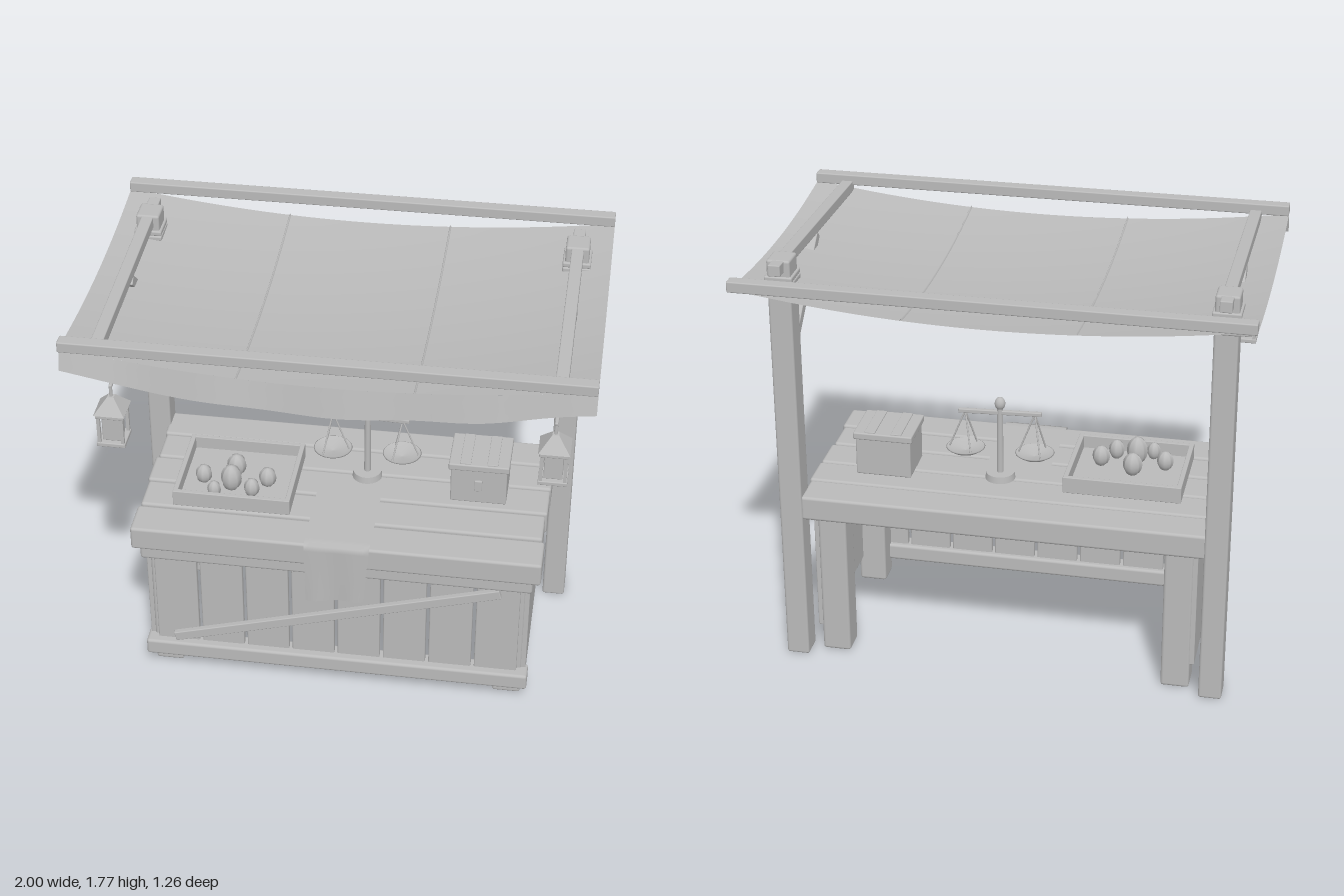
import * as THREE from 'three';
import { RoundedBoxGeometry } from 'three/addons/geometries/RoundedBoxGeometry.js';

const grey = new THREE.MeshStandardMaterial({ color: 0xbababa, side: THREE.DoubleSide });
grey.name = 'plain grey';

function add(parent, name, geometry, x = 0, y = 0, z = 0) {
  const mesh = new THREE.Mesh(geometry, grey);
  mesh.name = name;
  mesh.position.set(x, y, z);
  parent.add(mesh);
  return mesh;
}

// Softly bevelled box given by its extents on each axis
function box(parent, name, [x0, x1], [y0, y1], [z0, z1], bevel = 0.008) {
  const w = x1 - x0, h = y1 - y0, d = z1 - z0;
  const r = Math.min(bevel, w * 0.3, h * 0.3, d * 0.3);
  return add(parent, name, new RoundedBoxGeometry(w, h, d, 2, r), (x0 + x1) / 2, (y0 + y1) / 2, (z0 + z1) / 2);
}

// Bar running between two points in a plane of constant x
function bar(parent, name, x, [y0, z0], [y1, z1], w, h) {
  const len = Math.hypot(y1 - y0, z1 - z0);
  const m = add(parent, name, new RoundedBoxGeometry(w, h, len, 2, 0.004), x, (y0 + y1) / 2, (z0 + z1) / 2);
  m.rotation.x = -Math.atan2(y1 - y0, z1 - z0);
  return m;
}

// Thin round rod between two points
function rod(parent, name, a, b, r) {
  const p = new THREE.Vector3(...a), q = new THREE.Vector3(...b), d = q.clone().sub(p);
  const m = add(parent, name, new THREE.CylinderGeometry(r, r, d.length(), 8));
  m.position.copy(p).add(q).multiplyScalar(0.5);
  m.quaternion.setFromUnitVectors(new THREE.Vector3(0, 1, 0), d.normalize());
}

// Sheet whose points follow a rule of (u, v)
function sheet(parent, name, nu, nv, rule) {
  const g = new THREE.PlaneGeometry(1, 1, nu, nv);
  const p = g.attributes.position;
  for (let i = 0; i < p.count; i++) p.setXYZ(i, ...rule(p.getX(i) + 0.5, p.getY(i) + 0.5));
  g.computeVertexNormals();
  return add(parent, name, g);
}

const canopyY = (x, z) => 1.72 - 0.08 * (1 - x * x) - 0.04 * (1 - (z / 0.6) ** 2);

function buildCounter(g) {
  // Top planks
  const ends = [0.833, 0.825, 0.832, 0.822, 0.83];
  [[0.26, 0.42], [0.09, 0.248], [-0.08, 0.08], [-0.243, -0.087], [-0.405, -0.25]].forEach((z, i) =>
    box(g, 'topPlank', [-ends[i], ends[(i + 2) % 5]], [0.638, 0.742], z, 0.012));

  // Front rails, boards and diagonal
  box(g, 'upperRail', [-0.8, 0.8], [0.58, 0.65], [0.315, 0.405], 0.012);
  box(g, 'lowerRail', [-0.8, 0.8], [0.065, 0.138], [0.318, 0.405], 0.012);
  for (let i = 0; i < 8; i++) {
    const x = (i - 3.5) * 0.19;
    box(g, 'frontBoard', [x - 0.088, x + 0.088], [0.1, 0.62], [0.34, 0.37], 0.006);
  }
  const len = Math.hypot(1.35, 0.39);
  const diagonal = add(g, 'diagonalBrace', new RoundedBoxGeometry(len, 0.042, 0.025, 2, 0.004), -0.002, 0.357, 0.382);
  diagonal.rotation.z = Math.atan2(0.39, 1.35);

  // Side panels and legs
  for (const s of [-1, 1]) {
    const span = (a, b) => (s > 0 ? [a, b] : [-b, -a]);
    box(g, 'sidePanel', span(0.755, 0.79), [0.11, 0.64], [-0.345, 0.345], 0.004);
    box(g, 'frontLeg', span(0.655, 0.772), [0, 0.64], [0.236, 0.352], 0.012);
    box(g, 'backLeg', span(0.655, 0.772), [0, 0.64], [-0.352, -0.235], 0.012);
  }

  // Cloth draped over the front edge
  sheet(g, 'drapedCloth', 12, 24, (u, v) => {
    const t = (1 - v) * 0.68, hang = Math.max(0, t - 0.39);
    const x = 0.012 + (u - 0.5) * (0.265 - hang * 0.1) - hang * 0.03;
    const wave = 0.006 * Math.sin(u * 9) * hang / 0.29;
    return hang > 0 ? [x, 0.75 - hang + 0.02 * u * hang / 0.29, 0.428 + wave] : [x, 0.75, 0.04 + t];
  });
}

function buildLantern(g, x) {
  const lantern = new THREE.Group();
  lantern.name = 'lantern';
  lantern.position.set(x, 0, 0.463);
  g.add(lantern);
  box(lantern, 'lanternBase', [-0.056, 0.056], [1.217, 1.235], [-0.056, 0.056], 0.004);
  box(lantern, 'lanternRim', [-0.056, 0.056], [1.346, 1.364], [-0.056, 0.056], 0.004);
  box(lantern, 'lanternGlass', [-0.036, 0.036], [1.235, 1.346], [-0.036, 0.036], 0.004);
  for (const a of [-1, 1]) for (const b of [-1, 1])
    add(lantern, 'lanternCorner', new THREE.BoxGeometry(0.013, 0.125, 0.013), a * 0.046, 1.29, b * 0.046);
  const roof = new THREE.CylinderGeometry(0.018, 0.086, 0.06, 4).toNonIndexed();
  roof.computeVertexNormals();
  add(lantern, 'lanternRoof', roof, 0, 1.393, 0).rotation.y = Math.PI / 4;
  box(lantern, 'lanternHook', [-0.006, 0.006], [1.42, 1.47], [-0.006, 0.006]);
  box(lantern, 'lanternArm', [-0.007, 0.007], [1.461, 1.474], [-0.127, 0.007]);
}

function buildFrame(g) {
  for (const s of [-1, 1]) {
    const x = s * 0.865;
    box(g, 'post', [x - 0.047, x + 0.047], [0, 1.77], [-0.412, -0.308], 0.01);
    for (let i = 0; i < 4; i++) {
      const y = 1.625 + i * 0.023;
      box(g, 'ropeLashing', [x - 0.056, x + 0.056], [y - 0.011, y + 0.011], [-0.421, -0.299], 0.009);
    }
    bar(g, 'sideBeam', x, [1.747, -0.462], [1.712, 0.6], 0.048, 0.046);
    bar(g, 'postBrace', x, [1.33, -0.335], [1.7, 0.065], 0.048, 0.042);
    buildLantern(g, s * 0.853);
  }
  box(g, 'frontCrossRail', [-1, 1], [1.718, 1.762], [0.58, 0.632], 0.005);
  box(g, 'backCrossRail', [-1, 1], [1.718, 1.762], [-0.632, -0.58], 0.005);
}

function buildCanopy(g) {
  sheet(g, 'canopyCloth', 32, 24, (u, v) => {
    const x = 2 * u - 1, z = 0.605 - 1.21 * v;
    return [x, canopyY(x, z), z];
  });
  // Raised seams
  for (const s of [-1, 1]) sheet(g, 'canopySeam', 2, 24, (u, v) => {
    const x = s * 0.333 + (u - 0.5) * 0.008, z = 0.605 - 1.21 * v;
    return [x, canopyY(x, z) + (u === 0.5 ? 0.008 : 0), z];
  });
  // Hanging front flap
  sheet(g, 'valance', 40, 4, (u, v) => {
    const x = 2 * u - 1, d = 1 - v;
    const drop = 0.085 + 0.028 * (1 - x * x) + 0.005 * Math.cos(x * 11);
    return [x, canopyY(x, 0.605) - drop * d, 0.605 + 0.025 * d + 0.003 * d * Math.sin(x * 13)];
  });
}

function buildProduce(g) {
  // Open tray
  const X = [-0.69, -0.207], Z = [-0.16, 0.245], Y = [0.745, 0.815], t = 0.02;
  box(g, 'trayFloor', [-0.68, -0.217], [0.742, 0.76], [-0.15, 0.235]);
  box(g, 'trayFront', X, Y, [Z[1] - t, Z[1]], 0.003);
  box(g, 'trayBack', X, Y, [Z[0], Z[0] + t], 0.003);
  box(g, 'traySide', [X[0], X[0] + t], Y, Z, 0.003);
  box(g, 'traySide', [X[1] - t, X[1]], Y, Z, 0.003);
  // Ribbed gourds: x, z, radius, height
  const gourds = [[-0.59, 0.09, 0.034, 0.085], [-0.468, 0.125, 0.043, 0.122], [-0.465, 0.02, 0.04, 0.1],
    [-0.378, 0.155, 0.032, 0.085], [-0.325, 0.08, 0.036, 0.09], [-0.53, 0.18, 0.028, 0.075]];
  for (const [x, z, r, h] of gourds) {
    const geo = new THREE.SphereGeometry(1, 16, 8), p = geo.attributes.position;
    for (let i = 0; i < p.count; i++) {
      const a = Math.atan2(p.getZ(i), p.getX(i)), k = r * (0.94 + 0.08 * Math.cos(8 * a));
      p.setXYZ(i, p.getX(i) * k, p.getY(i) * h / 2, p.getZ(i) * k);
    }
    geo.computeVertexNormals();
    add(g, 'gourd', geo, x, 0.76 + h / 2, z);
  }
}

function buildScales(g) {
  const cx = 0.068, cz = -0.075;
  add(g, 'scaleBase', new THREE.CylinderGeometry(0.058, 0.062, 0.028, 24), cx, 0.757, cz);
  add(g, 'scaleColumn', new THREE.CylinderGeometry(0.012, 0.014, 0.3, 12), cx, 0.91, cz);
  add(g, 'scaleFinial', new THREE.SphereGeometry(0.022, 16, 10), cx, 1.08, cz).scale.y = 1.25;
  const beam = add(g, 'scaleBeam', new RoundedBoxGeometry(0.345, 0.018, 0.018, 2, 0.004), cx, 1.04, cz);
  beam.rotation.z = -0.035;
  const profile = [[0, -0.026], [0.03, -0.023], [0.06, -0.012], [0.08, 0.002], [0.076, 0.004], [0.055, -0.006], [0, -0.016]]
    .map(([r, y]) => new THREE.Vector2(r, y));
  for (const s of [-1, 1]) {
    const x = cx + s * 0.144, top = 1.04 - s * 0.005;
    add(g, 'scalePan', new THREE.LatheGeometry(profile, 24), x, 0.87, cz);
    for (let i = 0; i < 3; i++) {
      const a = i * Math.PI * 2 / 3;
      rod(g, 'panString', [x, top, cz], [x + 0.068 * Math.cos(a), 0.868, cz + 0.068 * Math.sin(a)], 0.0035);
    }
  }
}

function buildStrongbox(g) {
  box(g, 'chestBody', [0.426, 0.656], [0.742, 0.91], [-0.157, 0.045], 0.006);
  box(g, 'chestLid', [0.417, 0.664], [0.903, 0.933], [-0.167, 0.054], 0.006);
  for (const x of [0.485, 0.595]) box(g, 'chestStrap', [x - 0.022, x + 0.022], [0.93, 0.938], [-0.16, 0.047]);
  box(g, 'chestClasp', [0.525, 0.556], [0.805, 0.855], [0.04, 0.054], 0.003);
}

export function createModel() {
  const model = new THREE.Group();
  model.name = 'marketStall';
  const parts = { counter: buildCounter, frame: buildFrame, canopy: buildCanopy,
    produceTray: buildProduce, balanceScales: buildScales, strongbox: buildStrongbox };
  for (const [name, build] of Object.entries(parts)) {
    const group = new THREE.Group();
    group.name = name;
    build(group);
    model.add(group);
  }
  return model;
}
